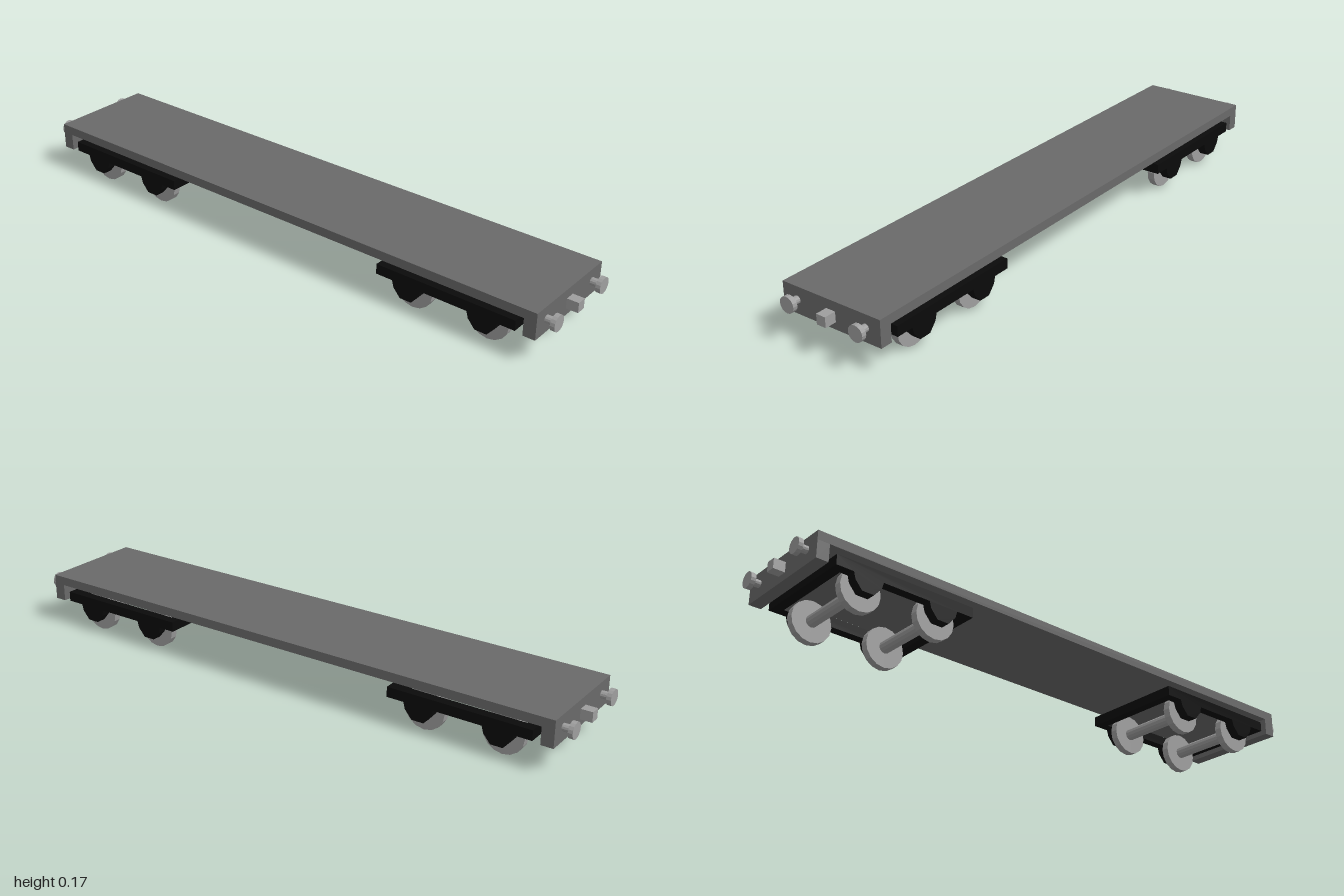
import * as THREE from 'three';

export function createModel() {
  const wagon = new THREE.Group();
  wagon.name = 'flatWagon';

  const material = (name, color) => {
    const m = new THREE.MeshStandardMaterial({ color });
    m.name = name;
    return m;
  };
  const deckGrey = material('deckGrey', 0x6a6a6a);
  const steel = material('steel', 0x9e9e9e);
  const frameBlack = material('frameBlack', 0x0a0a0a);

  const add = (parent, name, geometry, mat, x, y, z) => {
    const mesh = new THREE.Mesh(geometry, mat);
    mesh.name = name;
    mesh.position.set(x, y, z);
    parent.add(mesh);
    return mesh;
  };
  const box = (w, h, d) => new THREE.BoxGeometry(w, h, d);
  // Faceted cylinders, lying along z or x
  const faceted = (r, length, sides, axis) => {
    const g = new THREE.CylinderGeometry(r, r, length, sides);
    if (axis === 'z') g.rotateX(Math.PI / 2);
    else g.rotateZ(Math.PI / 2);
    const flat = g.toNonIndexed();
    flat.computeVertexNormals();
    return flat;
  };

  // Load deck
  add(wagon, 'deck', box(1.92, 0.03, 0.36), deckGrey, 0, 0.16, 0);

  // End beams with buffers and couplers
  const shaft = faceted(0.012, 0.03, 12, 'x');
  const head = faceted(0.026, 0.015, 16, 'x');
  for (const s of [-1, 1]) {
    add(wagon, 'endBeam', box(0.04, 0.057, 0.36), deckGrey, s * 0.94, 0.1165, 0);
    add(wagon, 'coupler', box(0.04, 0.033, 0.033), steel, s * 0.978, 0.128, 0);
    for (const z of [-0.127, 0.127]) {
      add(wagon, 'bufferShaft', shaft, steel, s * 0.972, 0.134, z);
      add(wagon, 'bufferHead', head, steel, s * 0.9925, 0.134, z);
    }
  }

  // Side frame outline: a bar with two tapered axle boxes hanging below it
  const sideShape = new THREE.Shape();
  sideShape.moveTo(-0.238, 0.125);
  sideShape.lineTo(-0.238, 0.092);
  for (const cx of [-0.13, 0.13]) {
    for (const [dx, y] of [[-0.05, 0.092], [-0.044, 0.07], [-0.02, 0.042], [0.02, 0.042], [0.044, 0.07], [0.05, 0.092]]) {
      sideShape.lineTo(cx + dx, y);
    }
  }
  sideShape.lineTo(0.238, 0.092);
  sideShape.lineTo(0.238, 0.125);
  sideShape.closePath();
  const sideFrame = new THREE.ExtrudeGeometry(sideShape, { depth: 0.032, bevelEnabled: false });
  sideFrame.translate(0, 0, -0.016);

  const wheel = faceted(0.068, 0.025, 16, 'z');
  const axle = faceted(0.02, 0.24, 12, 'z');

  // Bogies
  for (const s of [-1, 1]) {
    const bogie = new THREE.Group();
    bogie.name = s > 0 ? 'leftBogie' : 'rightBogie';
    bogie.position.x = s * 0.657;
    wagon.add(bogie);
    for (const t of [-1, 1]) {
      add(bogie, 'sideFrame', sideFrame, frameBlack, 0, 0, t * 0.163);
      add(bogie, 'crossBeam', box(0.032, 0.033, 0.294), frameBlack, t * 0.222, 0.1085, 0);
      add(bogie, 'axle', axle, steel, t * 0.13, 0.068, 0);
      for (const z of [-0.127, 0.127]) add(bogie, 'wheel', wheel, steel, t * 0.13, 0.068, z);
    }
  }
  return wagon;
}
